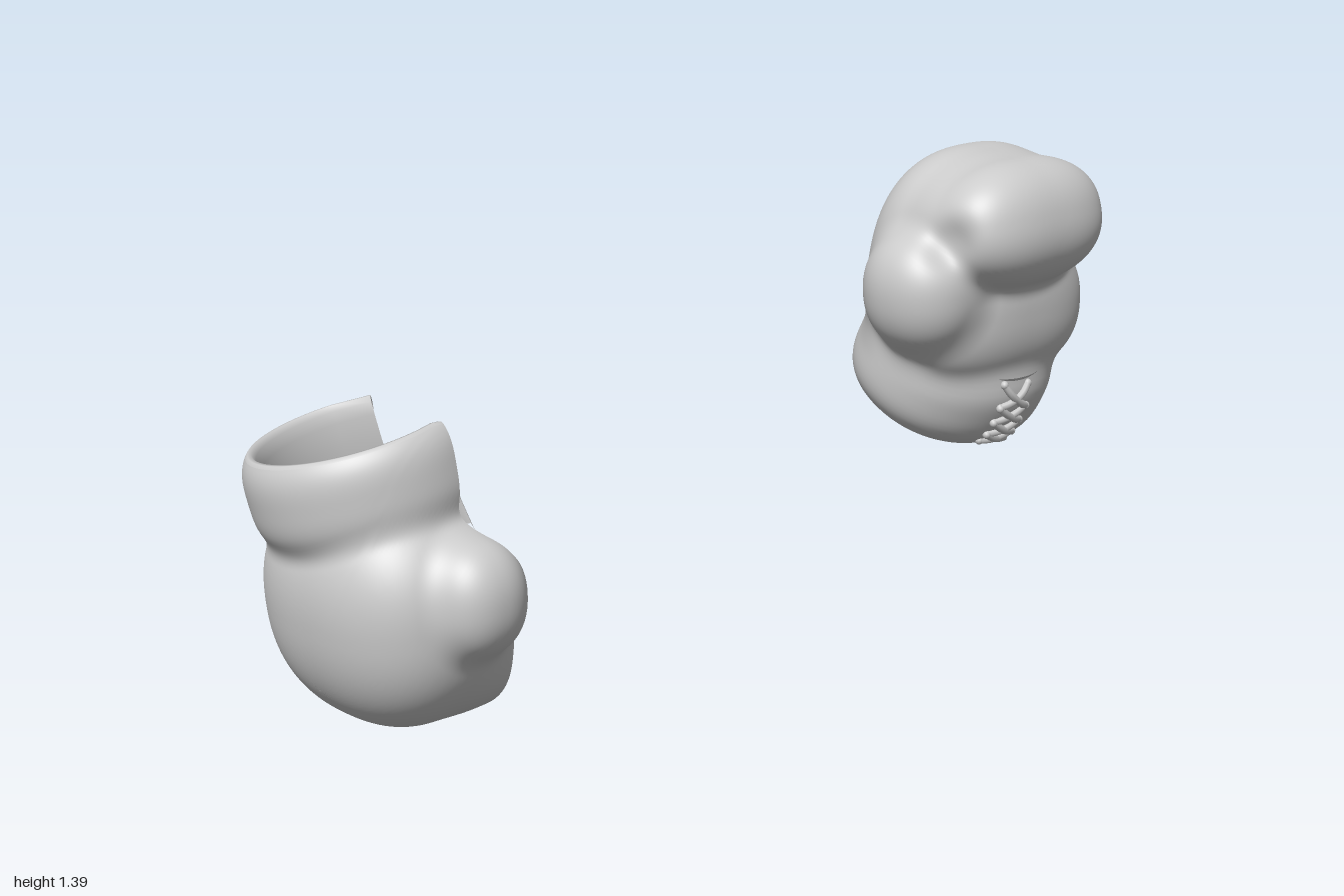
import * as THREE from 'three';

const V = (x, y, z) => new THREE.Vector3(x, y, z);
const material = new THREE.MeshStandardMaterial({ color: 0xcccccc, side: THREE.DoubleSide, roughness: 0.8 });
const smooth = THREE.MathUtils.smoothstep;

// Rounded lobe: centre, half sizes, up axis, roundness of the side (p) and plan (q)
function lobe(c, h, axis = V(0, 1, 0), p = 2.5, q = 2.5) {
  const turn = new THREE.Quaternion().setFromUnitVectors(V(0, 1, 0), axis.clone().normalize()).invert();
  const l = V();
  return (pt) => {
    l.subVectors(pt, c).applyQuaternion(turn);
    const plan = (Math.abs(l.x / h.x) ** q + Math.abs(l.z / h.z) ** q) ** (1 / q);
    const f = (plan ** p + Math.abs(l.y / h.y) ** p) ** (1 / p) + 1e-6;
    return l.length() * (1 - 1 / f);
  };
}

// Lobes blended into one padded skin, with dents pressed in: [place, depth, radius]
function blend(lobes, dents, k) {
  return (pt) => {
    const d = lobes.map((f) => f(pt)).reduce((a, b) => {
      const t = Math.max(k - Math.abs(a - b), 0) / k;
      return Math.min(a, b) - t * t * k * 0.25;
    });
    return dents.reduce((s, [c, depth, r]) => s + depth * Math.exp(-pt.distanceToSquared(c) / (r * r)), d);
  };
}

// Outermost skin point on a ray from the glove's middle
function hit(field, centre, dir) {
  const pt = V();
  const at = (r) => field(pt.copy(centre).addScaledVector(dir, r));
  let r = 0.85;
  while (r > 0.02 && at(r) > 0) r -= 0.012;
  let lo = r, hi = r + 0.012;
  for (let i = 0; i < 7; i++) {
    const mid = (lo + hi) / 2;
    if (at(mid) > 0) hi = mid; else lo = mid;
  }
  return centre.clone().addScaledVector(dir, lo);
}

function gridMesh(name, positions, index) {
  const g = new THREE.BufferGeometry();
  g.setAttribute('position', new THREE.Float32BufferAttribute(positions, 3));
  g.setIndex(index);
  g.computeVertexNormals();
  const m = new THREE.Mesh(g, material);
  m.name = name;
  return m;
}

// Skin swept from a pole down to the cuff opening or the cut edge, plus a cuff lining
function buildGlove(name, o) {
  const group = new THREE.Group();
  group.name = name;
  const field = blend(o.lobes, o.dents, 0.04);
  const pole = o.pole.clone().normalize();
  const n = o.normal.clone().normalize();
  const u = V(0, 0, 1).cross(pole).normalize();
  const v = pole.clone().cross(u);
  const COLS = 220, ROWS = 90;
  const skin = (theta, phi) => {
    const dir = pole.clone().multiplyScalar(Math.cos(theta))
      .addScaledVector(u, Math.cos(phi) * Math.sin(theta))
      .addScaledVector(v, Math.sin(phi) * Math.sin(theta));
    return hit(field, o.centre, dir);
  };
  const pastOpening = (p) => p.clone().sub(o.opening).dot(n) - o.bow * (p.x - o.opening.x) ** 2;
  const kept = (p) => pastOpening(p) < 0 && o.cut(p) < 0;

  const pos = [], index = [], rim = [];
  pos.push(...skin(0, 0).toArray());
  const id = (i, j) => (i === 0 ? 0 : 1 + (j % COLS) * ROWS + i - 1);
  for (let j = 0; j < COLS; j++) {
    const phi = (j / COLS) * Math.PI * 2;
    let lo = 0.3, hi = 0.3;
    while (hi < 3.1 && kept(skin(hi, phi))) { lo = hi; hi += 0.05; }
    for (let s = 0; s < 10; s++) {
      const mid = (lo + hi) / 2;
      if (kept(skin(mid, phi))) lo = mid; else hi = mid;
    }
    for (let i = 1; i <= ROWS; i++) pos.push(...skin((lo * i) / ROWS, phi).toArray());
    const end = skin(lo, phi);
    rim.push({ p: end, lip: pastOpening(end) > -0.03 });
    for (let i = 0; i < ROWS; i++) {
      const a = id(i, j), b = id(i + 1, j), c = id(i + 1, j + 1), d = id(i, j + 1);
      index.push(a, b, c);
      if (i > 0) index.push(a, c, d);
    }
  }
  group.add(gridMesh('paddedShell', pos, index));

  // Rolled rim and lining: [share of the inset, travel along the opening's normal]
  const steps = [[0, 0], [0.25, 0.007], [0.55, 0.007], [0.85, -0.008], [1, -0.04], [1, -0.1], [0.7, -0.18], [o.flare, -o.lining]];
  const lp = [], li = [];
  const S = steps.length;
  rim.forEach(({ p, lip }, j) => {
    steps.forEach(([s, t]) => lp.push(...p.clone().sub(o.opening).multiplyScalar(1 - s * o.inset)
      .add(o.opening).addScaledVector(n, t).toArray()));
    const k = (j + 1) % COLS;
    if (!lip || !rim[k].lip) return;
    for (let i = 0; i < S - 1; i++) {
      const a = j * S + i, b = a + 1, d = k * S + i, c = d + 1;
      li.push(a, b, c, a, c, d);
    }
  });
  group.add(gridMesh('cuffLining', lp, li));
  group.userData.project = (p) => hit(field, o.centre, p.clone().sub(o.centre).normalize());
  return group;
}

// Crossed laces lying on the palm side of the cuff
function addLaces(glove) {
  const laces = new THREE.Group();
  laces.name = 'laces';
  const on = (x, y, lift) => {
    const p = glove.userData.project(V(x, y, 0.56 - (0.8 - y) * 0.55));
    return p.add(V(0, -0.4, 0.9).multiplyScalar(lift));
  };
  for (let i = 0; i < 4; i++) {
    const y = 0.79 - i * 0.037;
    for (const s of [-1, 1]) {
      const pts = [-1, -0.5, 0, 0.5, 1].map((t) =>
        on(0.668 + s * t * 0.045, y - (t + 1) * 0.018, 0.004 * (1 - t * t) + (s > 0 ? 0.003 : 0)));
      const lace = new THREE.Mesh(new THREE.TubeGeometry(new THREE.CatmullRomCurve3(pts), 12, 0.01, 8), material);
      lace.name = 'lace';
      laces.add(lace);
      for (const t of [0, 4]) {
        const end = new THREE.Mesh(new THREE.SphereGeometry(0.011, 10, 8), material);
        end.name = 'laceEnd';
        end.position.copy(pts[t]);
        laces.add(end);
      }
    }
  }
  glove.add(laces);
}

export function createModel() {
  const model = new THREE.Group();
  model.name = 'boxingGloves';

  // Whole glove, fingers up, palm to the front
  const whole = buildGlove('wholeGlove', {
    centre: V(0.69, 1.1, 0.38),
    pole: V(0, 0.81, 0.58),
    opening: V(0.69, 0.75, 0.27),
    normal: V(0, -0.81, -0.58),
    bow: 0.6,
    inset: 0.16,
    flare: 0.6,
    lining: 0.22,
    cut: () => -1,
    dents: [[V(0.97, 1.14, 0.53), 0.04, 0.06], [V(0.4, 1.2, 0.55), 0.03, 0.05]],
    lobes: [
      lobe(V(0.697, 1.075, 0.362), V(0.297, 0.315, 0.195), V(0, 1, 0.17), 2.5, 2.5), // hand
      lobe(V(0.7, 0.97, 0.42), V(0.295, 0.19, 0.16), V(0, 1, 0), 2.4, 2.5), // palm
      lobe(V(0.67, 1.21, 0.51), V(0.26, 0.165, 0.175), V(0, 1, -0.25), 2.3, 2.7), // finger roll
      lobe(V(0.455, 1.055, 0.42), V(0.145, 0.16, 0.15), V(-0.1, 1, 0), 2.2, 2.2), // thumb
      lobe(V(0.69, 0.812, 0.316), V(0.27, 0.155, 0.242), V(0, 0.89, 0.46), 2.8, 2.1), // cuff
    ],
  });
  addLaces(whole);
  model.add(whole);

  // Cut-away glove, fingers down, cuff up, the palm corner removed
  const cuffUp = V(-0.19, 1, -0.16);
  model.add(buildGlove('cutGlove', {
    centre: V(-0.68, 0.35, -0.33),
    pole: V(-0.68, -0.73, 0),
    opening: V(-0.7, 0.757, -0.385),
    normal: cuffUp,
    bow: 0,
    inset: 0.1,
    flare: 0.1,
    lining: 0.26,
    // signed distance past the curved cut wall, which steps back at the cuff
    cut: (p) => {
      const back = Math.max(0, -0.25 - p.z), front = Math.max(0, p.z + 0.25);
      const edge = -0.55 + 2.7 * back * back + 0.5 * front * front;
      return p.x - edge + smooth(p.y, 0.35, 0.6) * (0.1 + 0.55 * back);
    },
    dents: [[V(-0.44, 0.34, -0.6), 0.04, 0.06]],
    lobes: [
      lobe(V(-0.68, 0.325, -0.325), V(0.27, 0.32, 0.335), V(-0.12, 1, 0), 2.3, 2.4), // hand
      lobe(V(-0.54, 0.2, -0.33), V(0.22, 0.185, 0.29), V(0, 1, 0), 2.4, 2.6), // finger roll
      lobe(V(-0.65, 0.385, -0.045), V(0.135, 0.155, 0.142), V(0, 1, 0), 2.2, 2.2), // thumb
      lobe(V(-0.7, 0.645, -0.385), V(0.3, 0.17, 0.3), cuffUp, 3.2, 2), // cuff
    ],
  }));
  return model;
}
